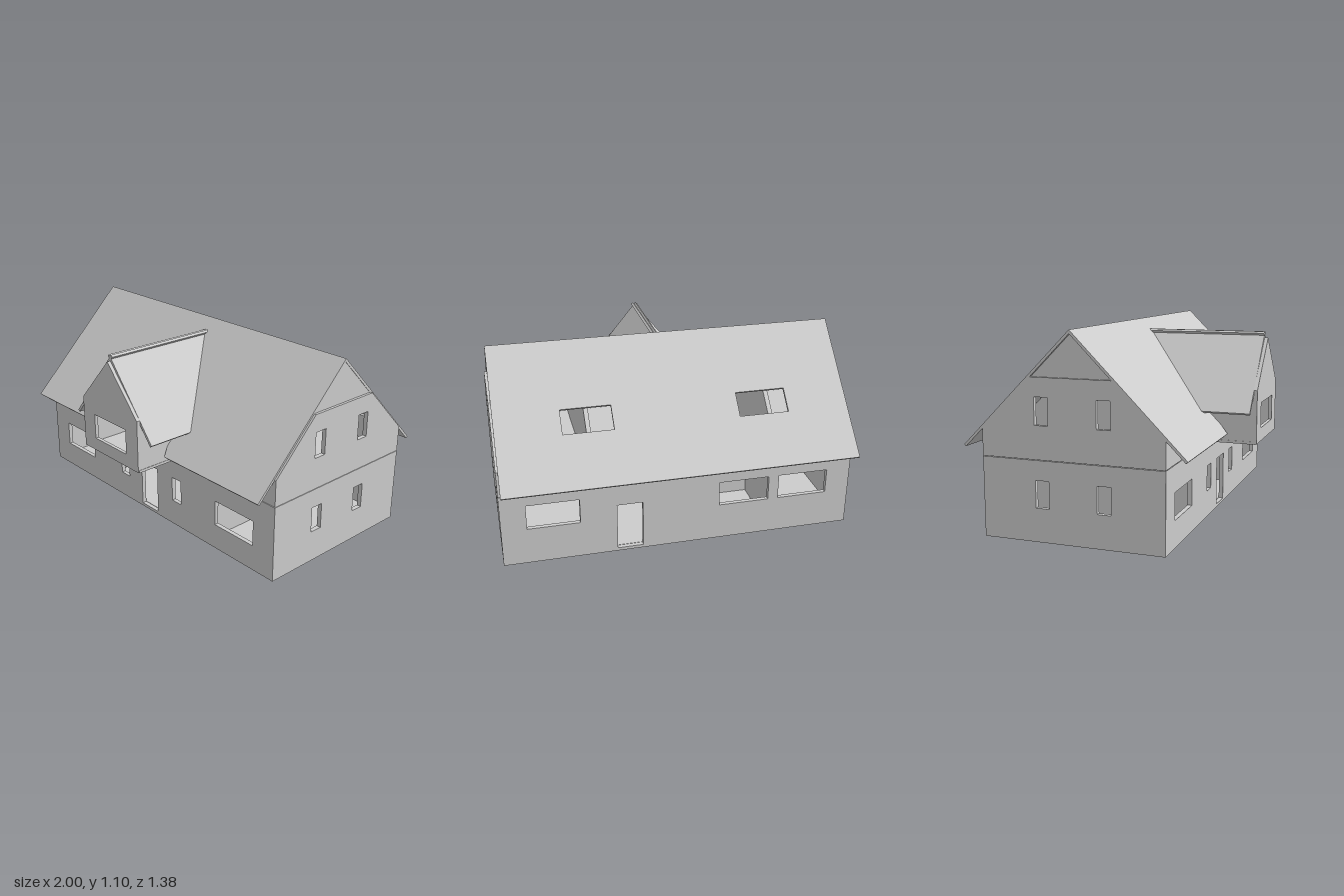
import * as THREE from 'three';

const T = 0.025; // wall thickness
const mat = new THREE.MeshStandardMaterial({ color: 0xcccccc, flatShading: true, side: THREE.DoubleSide });
const rect = (x0, x1, y0, y1) => [[x0, y0], [x1, y0], [x1, y1], [x0, y1]];
const toPts = (a) => a.map(([x, y]) => new THREE.Vector2(x, y));

// Flat panel with openings, extruded along its local +z
function slab(name, outline, holes = [], depth = T) {
  const shape = new THREE.Shape(toPts(outline));
  holes.forEach((h) => shape.holes.push(new THREE.Path(toPts(h))));
  const mesh = new THREE.Mesh(new THREE.ExtrudeGeometry(shape, { depth, bevelEnabled: false }), mat);
  mesh.name = name;
  return mesh;
}

export function createModel() {
  const house = new THREE.Group();
  house.name = 'house';

  // Panel drawn in (x, y), spanning z..z + depth
  const facing = (name, z, outline, holes, depth) => {
    const m = slab(name, outline, holes, depth);
    m.position.z = z;
    house.add(m);
  };
  // Panel drawn in (z, y), spanning x - depth..x
  const sideways = (name, x, outline, holes, depth) => {
    const m = slab(name, outline, holes, depth);
    m.rotation.y = -Math.PI / 2;
    m.position.x = x;
    house.add(m);
  };
  const box = (name, x0, x1, y0, y1, z0, z1) => {
    const m = new THREE.Mesh(new THREE.BoxGeometry(x1 - x0, y1 - y0, z1 - z0), mat);
    m.position.set((x0 + x1) / 2, (y0 + y1) / 2, (z0 + z1) / 2);
    m.name = name;
    house.add(m);
  };

  // Ground slab, and upper floor with a stair opening
  box('groundSlab', -0.975, 0.975, 0, 0.02, -0.555, 0.395);
  const floor = slab('upperFloor', rect(-0.975, 0.975, -0.395, 0.555), [rect(-0.5, -0.08, -0.12, 0.03)], 0.015);
  floor.rotation.x = -Math.PI / 2;
  floor.position.y = 0.425;
  house.add(floor);

  // Long walls: ground storey with windows and doors, then knee walls
  facing('frontWall', 0.42 - T, rect(-1, 1, 0, 0.43), [
    rect(-0.86, -0.57, 0.145, 0.29), rect(0.56, 0.85, 0.145, 0.29),
    rect(-0.28, -0.205, 0.15, 0.295), rect(0.2, 0.275, 0.15, 0.295),
    rect(-0.08, 0.065, 0.018, 0.295),
  ]);
  facing('backWall', -0.58, rect(-1, 1, 0, 0.43), [
    rect(0.57, 0.86, 0.215, 0.36), rect(-0.51, -0.22, 0.215, 0.36),
    rect(-0.86, -0.57, 0.215, 0.36), rect(0.22, 0.365, 0.018, 0.295),
  ]);
  facing('backKneeWall', -0.58, rect(-1, 1, 0.433, 0.58));
  for (const s of [-1, 1]) facing('frontKneeWall', 0.42 - T, rect(s * 0.245, s, 0.433, 0.58));

  // End walls: two storeys of windows and a slightly recessed attic gable
  for (const s of [-1, 1]) {
    const x = s > 0 ? 1 : -1 + T;
    const windows = (y) => [rect(0.06, 0.135, y, y + 0.145), rect(-0.28, -0.205, y, y + 0.145)];
    sideways('endWall', x, rect(-0.58, 0.42, 0, 0.43), windows(0.18));
    sideways('upperEndWall', x, [[-0.58, 0.433], [0.42, 0.433], [0.42, 0.58], [0.145, 0.855],
      [-0.305, 0.855], [-0.58, 0.58]], windows(0.61));
    sideways('atticGable', x - s * 0.015, [[-0.305, 0.855], [0.145, 0.855], [-0.08, 1.078]]);
  }

  // Inner partitions
  for (const x of [-0.53, 0.5]) {
    sideways('partition', x, rect(-0.555, 0.395, 0.02, 0.425));
    sideways('upperPartition', x, [[-0.555, 0.44], [0.395, 0.44], [0.395, 0.59], [-0.08, 1.06], [-0.555, 0.59]]);
  }
  facing('stairWall', -0.14, rect(-0.53, 0.1, 0.02, 0.425), [], 0.02);

  // Stairs climbing towards -x
  for (let i = 0; i < 10; i++) {
    const x = 0.06 - i * 0.055, y = 0.06 + i * 0.04;
    box('stairStep', x - 0.07, x, y - 0.04, y, -0.12, 0.03);
  }

  // Main roof: front slope notched for the dormer, back slope with two skylights
  const roof = (name, turn, outline, holes) => {
    const m = slab(name, outline, holes, 0.014);
    m.geometry.translate(0, 0, -0.014);
    m.rotation.set(-Math.PI / 4, turn, 0, 'YXZ');
    m.position.set(0, 1.095, -0.08);
    house.add(m);
  };
  const E = -0.864;
  roof('frontRoof', 0, [[-1, E], [-0.27, E], [-0.245, -0.8], [-0.245, -0.566], [0, -0.13],
    [0.245, -0.566], [0.245, -0.8], [0.27, E], [0.988, E], [0.988, 0], [-1, 0]]);
  roof('backRoof', Math.PI, rect(-0.988, 1, E, -0.014),
    [rect(0.36, 0.645, -0.552, -0.41), rect(-0.63, -0.35, -0.552, -0.41)]);

  // Dormer: floor, gabled front with window, cheeks that die into the roof
  box('dormerFloor', -0.247, 0.247, 0.428, 0.443, 0.4, 0.685);
  facing('dormerFront', 0.67, [[-0.25, 0.43], [0.245, 0.43], [0.245, 0.73], [0, 1.0], [-0.25, 0.73]],
    [rect(-0.145, 0.14, 0.505, 0.65)], 0.02);
  for (const s of [-1, 1]) {
    sideways('dormerCheek', s > 0 ? 0.245 : -0.225, [[0.67, 0.43], [0.67, 0.71], [0.3, 0.71],
      [0.42, 0.59], [0.42, 0.43]], [], 0.02);

    // Dormer roof slab, crossing at the ridge, its back end cut to the main slope
    const m = slab('dormerRoof', [[-0.34, 0.615], [0.008, 1.035], [0.02, 1.025], [-0.328, 0.605]]
      .map(([x, y]) => [x * s, y]), [], 0.67);
    const p = m.geometry.attributes.position;
    for (let i = 0; i < p.count; i++) if (p.getZ(i) < 0.1) p.setZ(i, 1.01 - p.getY(i));
    m.geometry.computeVertexNormals();
    house.add(m);
  }
  return house;
}
